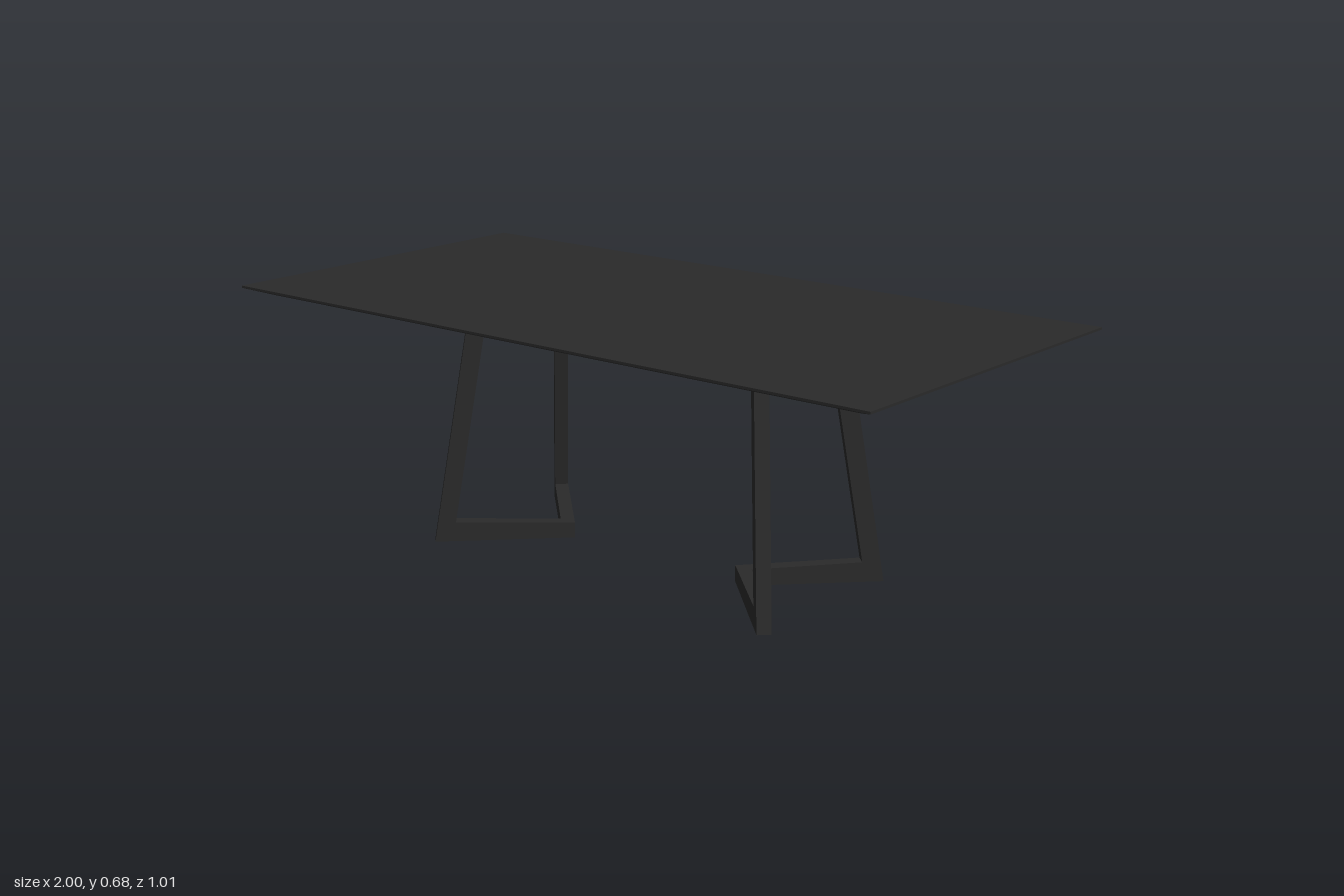
import * as THREE from 'three';

const material = new THREE.MeshStandardMaterial({ color: 0x2a2a2a });

// Move every vertex by a rule, optionally reverse the faces, and shade flat
function reshape(source, rule, flip = false) {
  const geometry = source.index ? source.toNonIndexed() : source;
  const p = geometry.attributes.position;
  const v = new THREE.Vector3();
  const points = [];
  for (let i = 0; i < p.count; i++) {
    rule(v.fromBufferAttribute(p, i));
    points.push(v.clone());
  }
  for (let i = 0; i < p.count; i++) {
    const k = i % 3;
    const j = flip && k > 0 ? i + (k === 1 ? 1 : -1) : i;
    p.setXYZ(i, points[j].x, points[j].y, points[j].z);
  }
  geometry.computeVertexNormals();
  return geometry;
}

// Thin top with a small square lip and a wide bevel underneath
function makeTabletop() {
  const box = new THREE.BoxGeometry(2, 2, 1.01, 1, 2, 1);
  const geometry = reshape(box, (v) => {
    if (v.y < -0.5) {
      v.x -= Math.sign(v.x) * 0.06;
      v.z -= Math.sign(v.z) * 0.06;
      v.y = 0.655;
    } else v.y = v.y > 0.5 ? 0.682 : 0.676;
  });
  const mesh = new THREE.Mesh(geometry, material);
  mesh.name = 'tabletop';
  return mesh;
}

// One C-shaped wing of a leg frame, turned 45 degrees and mitred at z = 0
function makeWing(side) {
  const profile = [
    [0, 0], [0.267, 0], [0.19, 0.656], [0, 0.656],
    [0, 0.621], [0.161, 0.611], [0.227, 0.053], [0, 0.043],
  ];
  const shape = new THREE.Shape(profile.map(([u, y]) => new THREE.Vector2(u, y)));
  const extruded = new THREE.ExtrudeGeometry(shape, { depth: 1, bevelEnabled: false });
  const geometry = reshape(extruded, (v) => {
    const u = v.x, w = v.z;
    const mitred = u < 1e-5;
    v.x = 0.273 + u + (mitred ? 0.052 : 0.026) * w;
    v.z = side * (mitred ? 0 : u - 0.026 * w);
  }, side > 0);
  const mesh = new THREE.Mesh(geometry, material);
  mesh.name = side > 0 ? 'frontWing' : 'backWing';
  return mesh;
}

export function createModel() {
  const model = new THREE.Group();
  model.name = 'diningTable';
  model.add(makeTabletop());

  // V-shaped leg frames with their points facing each other
  for (const [name, turn] of [['leftLegFrame', 0], ['rightLegFrame', Math.PI]]) {
    const frame = new THREE.Group();
    frame.name = name;
    frame.add(makeWing(1), makeWing(-1));
    frame.rotation.y = turn;
    model.add(frame);
  }
  return model;
}
